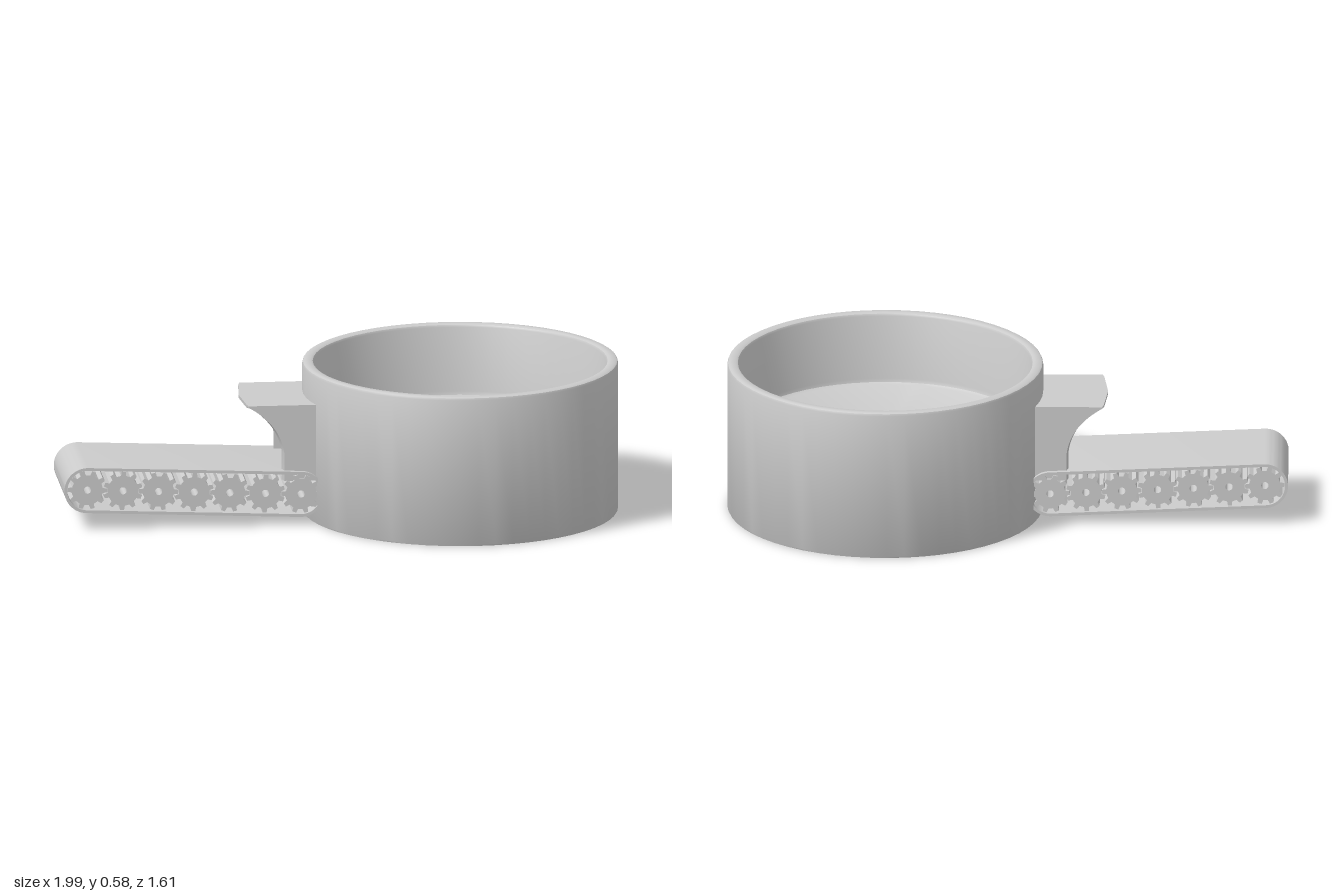
import * as THREE from 'three';
import { toCreasedNormals } from 'three/addons/utils/BufferGeometryUtils.js';

const material = new THREE.MeshStandardMaterial({ color: 0xcccccc });
const V = (x, y) => new THREE.Vector2(x, y);

function part(name, geometry, parent, crease = 0.6) {
  const g = geometry.index ? geometry.toNonIndexed() : geometry;
  const mesh = new THREE.Mesh(toCreasedNormals(g, crease), material);
  mesh.name = name;
  parent.add(mesh);
  return mesh;
}

// Extrusion centred on z = 0
function slab(shape, width, steps = 1, curveSegments = 16) {
  const g = new THREE.ExtrudeGeometry(shape, { depth: width, steps, curveSegments, bevelEnabled: false });
  return g.translate(0, 0, -width / 2);
}

// Long rounded loop between two end centres
function stadium(Path, length, r) {
  const p = new Path();
  p.absarc(length, 0, r, -Math.PI / 2, Math.PI / 2, false);
  p.absarc(0, 0, r, Math.PI / 2, Math.PI * 1.5, false);
  p.closePath();
  return p;
}

function gearShape(teeth, root, tip, hole) {
  const pts = [];
  const pitch = (Math.PI * 2) / teeth;
  for (let i = 0; i < teeth; i++) {
    for (const [f, r] of [[-0.27, root], [-0.16, tip], [0.16, tip], [0.27, root]]) {
      const a = (i + f) * pitch;
      pts.push(V(Math.cos(a) * r, Math.sin(a) * r));
    }
  }
  const shape = new THREE.Shape(pts);
  shape.holes.push(new THREE.Path().absarc(0, 0, hole, 0, Math.PI * 2, true));
  return shape;
}

// Bracket slice: radius from the bowl's axis against height, hollow under its lip
function bracketShape(lip, neck, bendY, lipDrop) {
  const s = new THREE.Shape();
  s.moveTo(0.58, 0.17);
  s.lineTo(neck, 0.17);
  s.lineTo(neck, bendY);
  s.quadraticCurveTo(neck + 0.015, 0.39, lip, 0.465 - lipDrop);
  s.lineTo(lip, 0.465);
  s.lineTo(0.58, 0.465);
  s.closePath();
  return s;
}

// Wraps a slice's radius around the bowl
function wrap(g) {
  const p = g.attributes.position;
  for (let i = 0; i < p.count; i++) {
    const r = p.getX(i), z = p.getZ(i);
    p.setX(i, Math.sqrt(r * r - z * z));
  }
  return g;
}

export function createModel() {
  const model = new THREE.Group();
  model.name = 'bowlWithConveyor';

  // Everything is placed about the bowl's axis
  const body = new THREE.Group();
  body.name = 'body';
  body.position.set(0.395, 0, 0.2);
  model.add(body);

  // Bowl with a raised floor and softened rim
  const profile = [
    V(0, 0), V(0.597, 0), V(0.6, 0.006), V(0.6, 0.57), V(0.597, 0.578), V(0.59, 0.582),
    V(0.568, 0.582), V(0.56, 0.578), V(0.556, 0.57), V(0.553, 0.32), V(0.549, 0.307), V(0.538, 0.3), V(0, 0.3),
  ];
  part('bowl', new THREE.LatheGeometry(profile, 56), body);

  // Side assembly: local x points outward from the bowl
  const side = new THREE.Group();
  side.name = 'sideAssembly';
  side.rotation.y = Math.PI - 0.577;
  body.add(side);

  // Bracket over the conveyor: recessed hood between two cheeks
  const half = 0.188, cheek = 0.03;
  const hood = slab(bracketShape(0.846, 0.635, 0.27, 0.012), 2 * (half - cheek), 2);
  part('bracketHood', wrap(hood), side);
  for (const s of [-1, 1]) {
    const g = slab(bracketShape(0.846, 0.715, 0.28, 0.006), cheek);
    g.translate(0, 0, s * (half - cheek / 2));
    part(s < 0 ? 'bracketCheekFront' : 'bracketCheekBack', wrap(g), side);
  }

  // Conveyor, rising slightly outward
  const pitch = 0.136, count = 7, length = pitch * (count - 1);
  const conveyor = new THREE.Group();
  conveyor.name = 'conveyor';
  conveyor.position.set(1.443 - length, 0.12, 0);
  conveyor.rotation.z = 0.043;
  side.add(conveyor);

  const belt = stadium(THREE.Shape, length, 0.088);
  belt.holes.push(stadium(THREE.Path, length, 0.077));
  part('belt', slab(belt, 0.41), conveyor);

  // Row of meshing gears
  const gear = slab(gearShape(10, 0.059, 0.075, 0.014), 0.396);
  for (let i = 0; i < count; i++) {
    const m = part('gear' + (i + 1), gear, conveyor, 0.4);
    m.position.x = i * pitch;
    m.rotation.z = (i % 2) * (Math.PI / 10);
  }
  return model;
}
